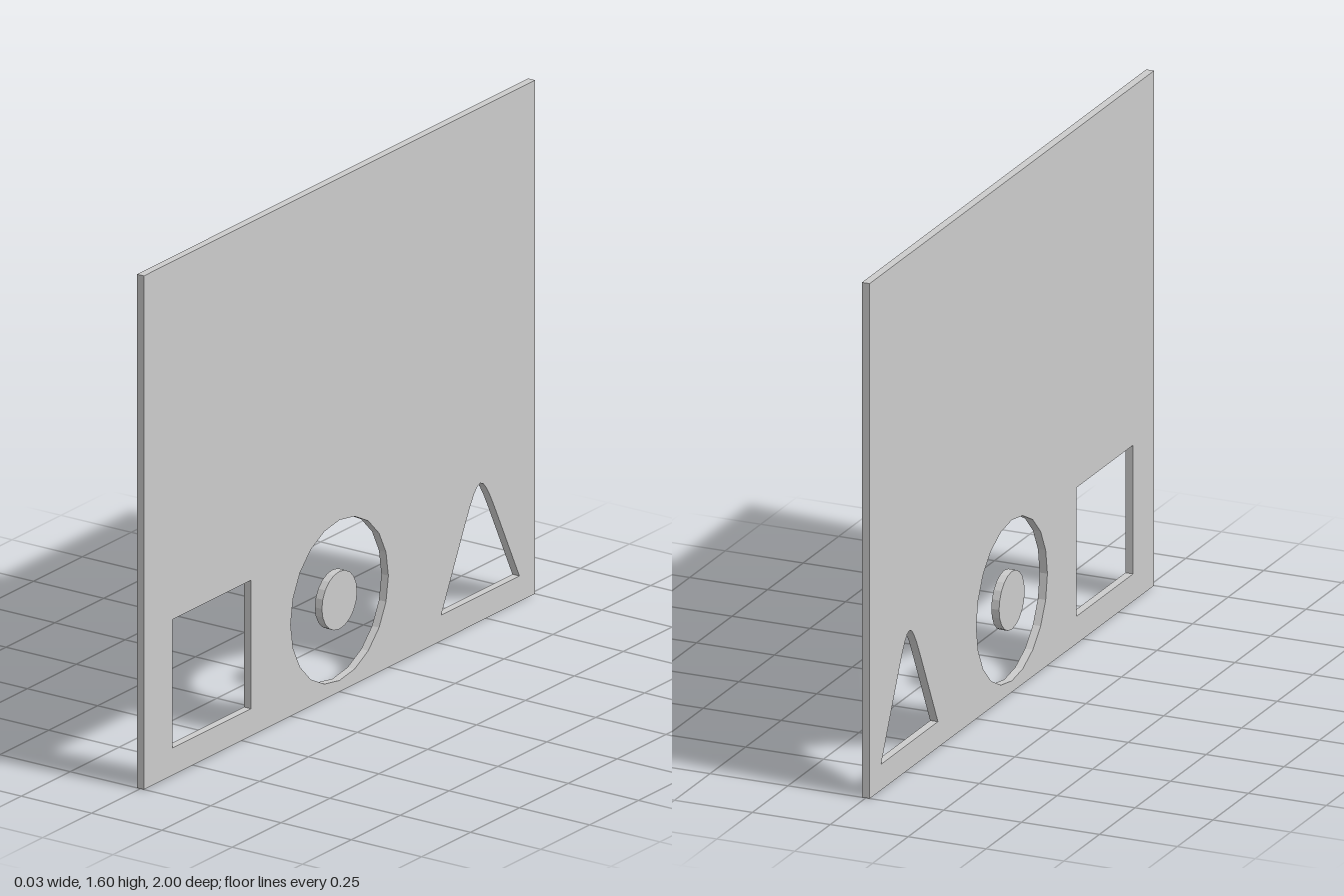
import * as THREE from 'three';

const THICKNESS = 0.025;
const RING_Y = 0.285;

export function createModel() {
  const group = new THREE.Group();
  const material = new THREE.MeshStandardMaterial({ color: 0xcccccc });

  // Extrude an outline and turn it so the sheet stands in the y-z plane
  const addSheet = (name, shape) => {
    const geometry = new THREE.ExtrudeGeometry(shape, {
      depth: THICKNESS, bevelEnabled: false, curveSegments: 10,
    });
    geometry.translate(0, 0, -THICKNESS / 2).rotateY(Math.PI / 2);
    const mesh = new THREE.Mesh(geometry, material);
    mesh.name = name;
    group.add(mesh);
  };

  const rectangle = (path, x0, y0, x1, y1) =>
    path.moveTo(x0, y0).lineTo(x1, y0).lineTo(x1, y1).lineTo(x0, y1).closePath();

  const panel = rectangle(new THREE.Shape(), -1, 0, 1, 1.6);

  // Square cut-out
  const square = rectangle(new THREE.Path(), -0.853, 0.085, -0.453, 0.485);

  // Round cut-out
  const circle = new THREE.Path().absarc(0, RING_Y, 0.25, 0, Math.PI * 2, true);

  // Triangular cut-out with a rounded tip
  const triangle = new THREE.Path()
    .moveTo(0.52, 0.08)
    .lineTo(0.92, 0.08)
    .lineTo(0.82, 0.28)
    .bezierCurveTo(0.72, 0.48, 0.72, 0.48, 0.62, 0.28)
    .closePath();

  panel.holes.push(square, circle, triangle);
  addSheet('panel', panel);

  // Loose disc in the middle of the round cut-out
  addSheet('centreDisc', new THREE.Shape().absarc(0, RING_Y, 0.09, 0, Math.PI * 2, false));

  return group;
}
